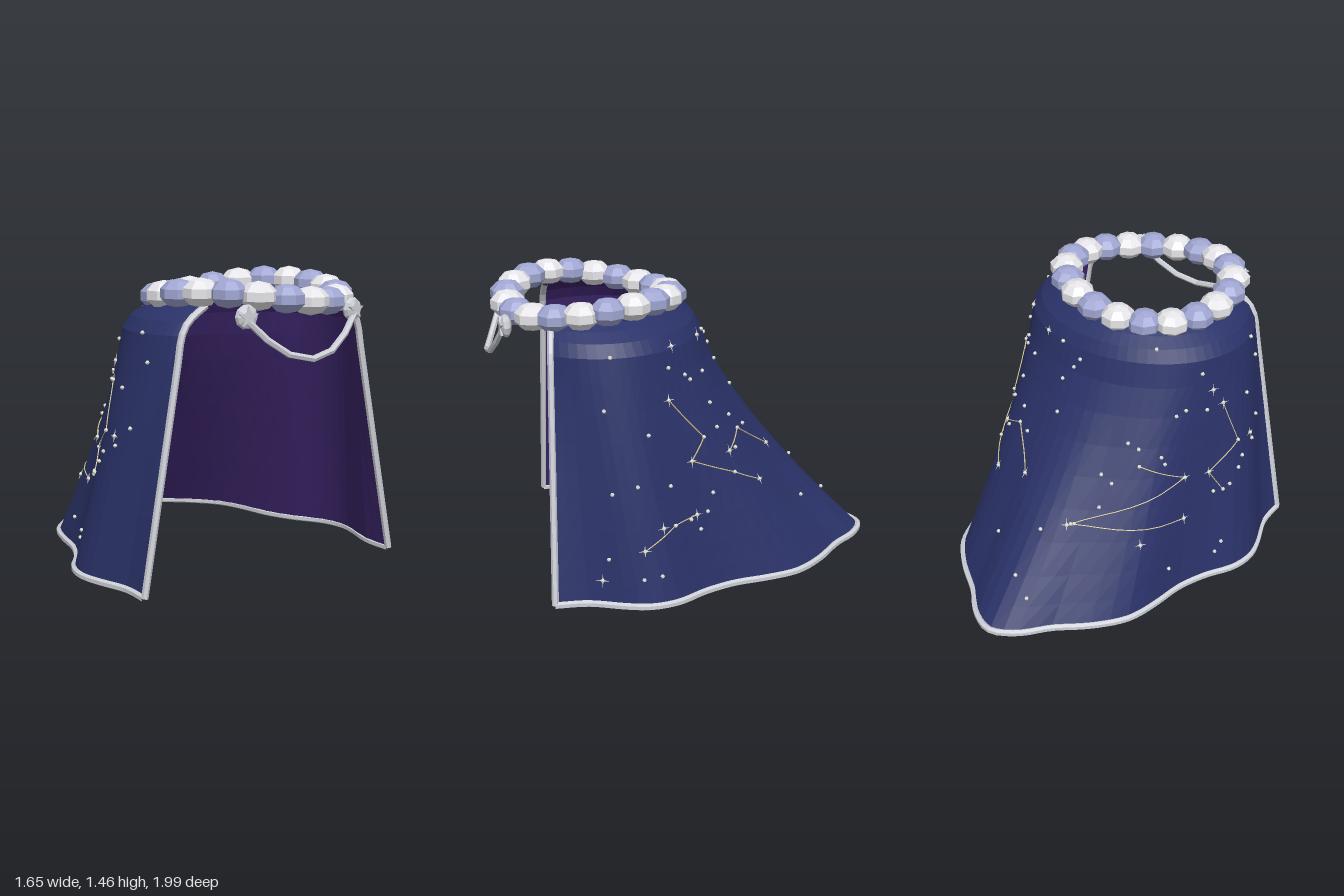
import * as THREE from 'three';

const V = (x, y, z) => new THREE.Vector3(x, y, z);
const mat = (color, flatShading = true) => new THREE.MeshStandardMaterial({ color, flatShading });
const NECK_Y = 1.33, SHOULDER_Y = 1.2, HEM_Y = 0.02;

// Hem outline (x, z) from the tail to the front corner, mirrored into one curve
const hemHalf = [[0, -0.975], [0.13, -0.915], [0.25, -0.79], [0.40, -0.67], [0.53, -0.52], [0.585, -0.35],
  [0.62, -0.18], [0.69, -0.02], [0.78, 0.12], [0.81, 0.25], [0.79, 0.37], [0.735, 0.55], [0.735, 0.71]];
const hemPoints = [
  ...hemHalf.slice(1).reverse().map(([x, z]) => V(x, 0, z)),
  ...hemHalf.map(([x, z]) => V(-x, 0, z)),
];
const hemCurve = new THREE.CatmullRomCurve3(hemPoints);

// Point of the cloth: u runs 0..1 from the +x front edge round the back to the -x front edge
function cloth(u, y) {
  const side = Math.abs(2 * u - 1);
  const a = (1 - 2 * u) * THREE.MathUtils.degToRad(121);
  const shoulder = V(0.6 * Math.sin(a), y, 0.42 - 0.51 * Math.cos(a));
  if (y > SHOULDER_Y) {
    const t = Math.sin((NECK_Y - y) / (NECK_Y - SHOULDER_Y) * Math.PI / 2);
    return V(0.44 * Math.sin(a), y, 0.46 - 0.41 * Math.cos(a)).lerp(shoulder, t);
  }
  const s = (SHOULDER_Y - y) / (SHOULDER_Y - HEM_Y);
  const hem = hemCurve.getPoint(u);
  const sz = Math.pow(s, 1 + 0.35 * (1 - side));
  return V(shoulder.x + (hem.x - shoulder.x) * s, y, shoulder.z + (hem.z - shoulder.z) * sz);
}

function clothNormal(u, y) {
  const du = cloth(u + 0.01, y).sub(cloth(u - 0.01, y));
  const dy = cloth(u, y - 0.01).sub(cloth(u, y + 0.01));
  return dy.cross(du).normalize();
}

const rows = [1.33, 1.3, 1.26, 1.2, 1.08, 0.94, 0.8, 0.66, 0.52, 0.38, 0.24, 0.12, 0.02];

// One cloth layer; the lining is shifted inward and faces the other way
function clothGeometry(offset, inward) {
  const cols = 48, pos = [], index = [];
  for (const y of rows) {
    for (let i = 0; i <= cols; i++) {
      const u = i / cols;
      const n = clothNormal(THREE.MathUtils.clamp(u, 0.011, 0.989), Math.max(y, 0.03));
      const p = cloth(u, y).addScaledVector(n.setY(0), offset);
      pos.push(p.x, p.y, p.z);
    }
  }
  for (let j = 0; j < rows.length - 1; j++) {
    for (let i = 0; i < cols; i++) {
      const a = j * (cols + 1) + i, b = a + 1, c = a + cols + 1, d = c + 1;
      if (inward) index.push(a, b, c, b, d, c);
      else index.push(a, c, b, b, c, d);
    }
  }
  const g = new THREE.BufferGeometry();
  g.setAttribute('position', new THREE.Float32BufferAttribute(pos, 3));
  g.setIndex(index);
  g.computeVertexNormals();
  return g;
}

export function createModel() {
  const root = new THREE.Group();
  const white = mat(0xe6e6ea), lavender = mat(0xa0a6d2), silver = mat(0xcccfd6);
  const gold = mat(0xd2c38a), starMat = mat(0xdcdcd0);
  const add = (geo, material, name, parent = root) => {
    const m = new THREE.Mesh(geo, material);
    m.name = name;
    parent.add(m);
    return m;
  };
  const tube = (points, segments, radius, name) => add(
    new THREE.TubeGeometry(new THREE.CatmullRomCurve3(points), segments, radius, 6), silver, name);

  add(clothGeometry(0, false), mat(0x2a3268), 'capeOuter');
  add(clothGeometry(-0.008, true), mat(0x3a2468), 'capeLining');

  // Piping along the hem and both front edges
  const hemPath = Array.from({ length: 73 }, (_, i) => cloth(i / 72, HEM_Y));
  tube(hemPath, 96, 0.018, 'hemTrim');
  for (const u of [0, 1]) tube(rows.map(y => cloth(u, y)), 30, 0.017, 'frontEdgeTrim');

  // Collar of alternating beads, gently waving up and down
  const collar = new THREE.Group();
  collar.name = 'beadCollar';
  root.add(collar);
  const beadGeo = new THREE.SphereGeometry(0.09, 8, 5);
  for (let i = 0; i < 20; i++) {
    const a = (i + 0.5) / 20 * Math.PI * 2;
    const bead = add(beadGeo, i % 2 ? lavender : white, 'bead', collar);
    bead.position.set(0.44 * Math.sin(a), 1.363 - 0.028 * Math.cos(2 * (a - 0.61)), 0.47 + 0.405 * Math.cos(a));
    bead.scale.y = 0.76;
    bead.rotation.y = a;
  }

  // Faceted clasps with a raised star
  const starShape = new THREE.Shape(Array.from({ length: 10 }, (_, i) => {
    const a = i / 10 * Math.PI * 2, r = i % 2 ? 0.022 : 0.05;
    return new THREE.Vector2(r * Math.sin(a), r * Math.cos(a));
  }));
  const starGeo = new THREE.ExtrudeGeometry(starShape, { depth: 0.012, bevelEnabled: false });
  for (const s of [-1, 1]) {
    const clasp = new THREE.Group();
    clasp.name = 'clasp';
    clasp.position.set(s * 0.305, 1.295, 0.885);
    clasp.rotation.y = s * 0.15;
    root.add(clasp);
    const boss = add(new THREE.SphereGeometry(0.057, 10, 6).rotateX(Math.PI / 2), silver, 'claspBoss', clasp);
    boss.scale.z = 0.5;
    add(starGeo, silver, 'claspStar', clasp).position.z = 0.018;
  }

  // Cord hanging between the clasps
  tube([V(-0.31, 1.28, 0.9), V(-0.16, 1.14, 0.955), V(0, 1.095, 0.983), V(0.16, 1.14, 0.955), V(0.31, 1.28, 0.9)],
    6, 0.016, 'claspCord');

  // Stars on the cloth, the large ones with four points
  const stars = new THREE.Group();
  stars.name = 'stars';
  root.add(stars);
  const dotGeo = new THREE.IcosahedronGeometry(0.011, 0);
  const rayGeo = new THREE.OctahedronGeometry(0.035, 0);
  function star(u, y, big) {
    const n = clothNormal(u, y), p = cloth(u, y).addScaledVector(n, 0.006);
    const g = new THREE.Group();
    g.name = 'star';
    g.position.copy(p);
    g.lookAt(p.clone().add(n));
    stars.add(g);
    add(dotGeo, starMat, 'starCore', g);
    if (big) {
      add(rayGeo, starMat, 'starRay', g).scale.set(0.12, 1, 0.12);
      add(rayGeo, starMat, 'starRay', g).scale.set(1, 0.12, 0.12);
    }
  }
  let seed = 11;
  const rand = () => (seed = (seed * 16807) % 2147483647) / 2147483647;
  for (let i = 0; i < 64; i++) star(0.06 + 0.88 * ((i * 0.618) % 1), 0.14 + 1.12 * rand(), i % 9 === 0);

  // Constellations: stars (u, y) joined by thin threads
  const constellations = [
    [[0.24, 0.97], [0.29, 0.76], [0.25, 0.66], [0.32, 0.56], [0.36, 0.48]],
    [[0.13, 0.29], [0.19, 0.38], [0.23, 0.4]],
    [[0.44, 0.58], [0.38, 0.73], [0.33, 0.66]],
    [[0.74, 0.4], [0.56, 0.46], [0.73, 0.62], [0.64, 0.72]],
    [[0.8, 0.95], [0.84, 0.72], [0.78, 0.6], [0.81, 0.48]],
  ];
  for (const list of constellations) {
    list.forEach(([u, y], i) => {
      star(u, y, i % 2 === 0);
      if (!i) return;
      const [u0, y0] = list[i - 1];
      const pts = Array.from({ length: 7 }, (_, k) => {
        const uu = u0 + (u - u0) * k / 6, yy = y0 + (y - y0) * k / 6;
        return cloth(uu, yy).addScaledVector(clothNormal(uu, yy), 0.005);
      });
      add(new THREE.TubeGeometry(new THREE.CatmullRomCurve3(pts), 8, 0.003, 4), gold, 'constellationThread', stars);
    });
  }
  return root;
}
